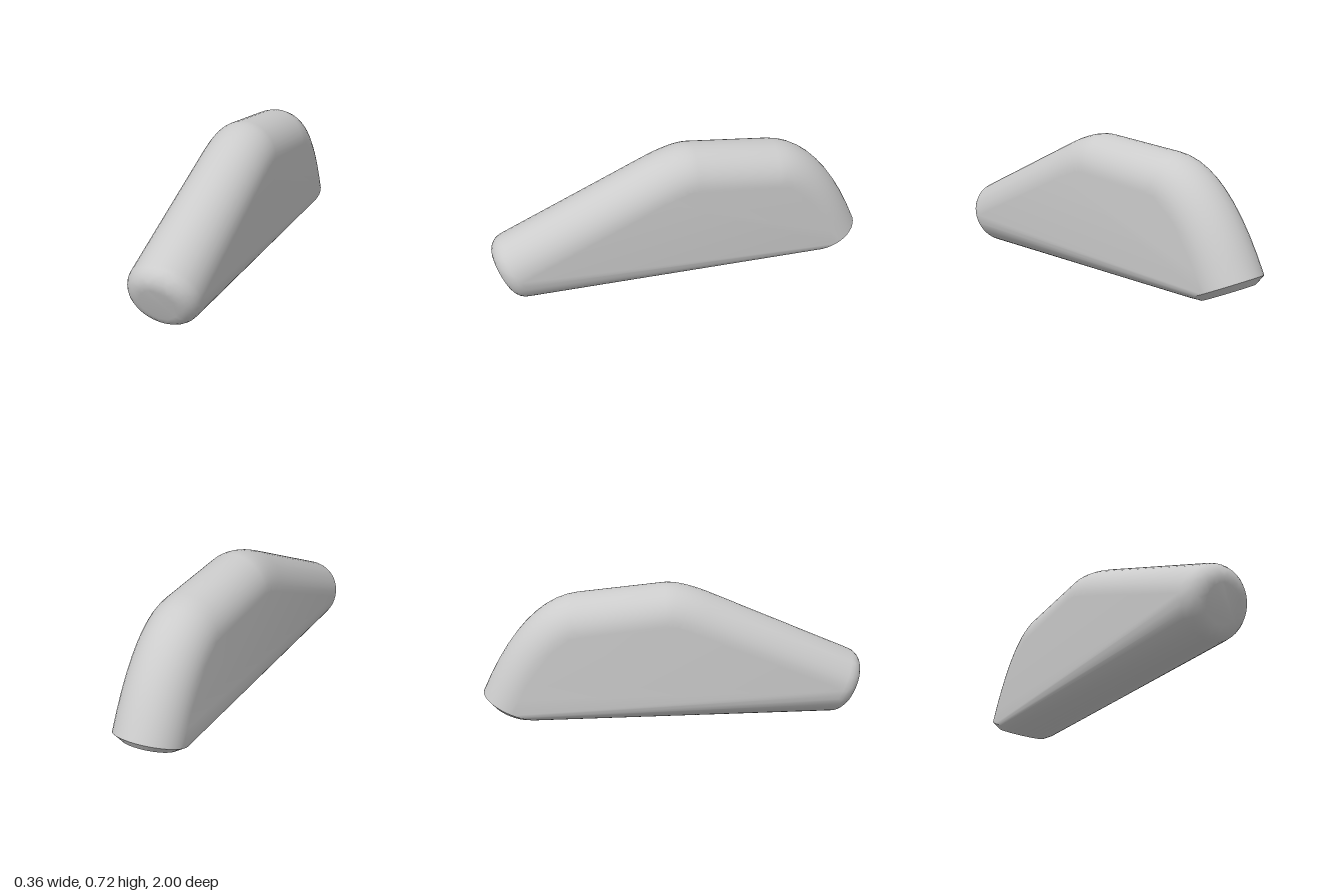
import * as THREE from 'three';
import { ConvexGeometry } from 'three/addons/geometries/ConvexGeometry.js';
import { toCreasedNormals } from 'three/addons/utils/BufferGeometryUtils.js';

const R = 0.179;     // half width of the body
const ROUND = 0.085; // rounding of the front end
const SIDES = 40;
const P = (z, y) => new THREE.Vector3(0, y, z);

export function createModel() {
  const points = [];

  // Adds a circle hanging below the ridge point, square to the ridge direction
  function addRing(ridge, dir, radius = R, shift = 0) {
    const up = P(dir.y, -dir.z);
    const centre = ridge.clone().addScaledVector(up, -R).addScaledVector(dir, shift);
    for (let i = 0; i < SIDES; i++) {
      const a = (i / SIDES) * Math.PI * 2;
      const p = centre.clone().addScaledVector(up, radius * Math.cos(a));
      p.x = radius * Math.sin(a);
      points.push(p);
    }
  }

  // Rounded front end
  const nose = P(1.028, 0.303);
  const noseDir = P(0.2, 0.66).sub(nose).normalize();
  for (let i = 0; i <= 6; i++) {
    const a = (i / 6) * Math.PI / 2;
    addRing(nose, noseDir, R - ROUND * (1 - Math.sin(a)), ROUND * (1 - Math.cos(a)));
  }

  // Two bends along the ridge; the straight runs join them
  const bends = [
    new THREE.QuadraticBezierCurve3(P(0.2, 0.66), P(0.04, 0.729), P(-0.05, 0.72)),
    new THREE.QuadraticBezierCurve3(P(-0.49, 0.676), P(-0.77, 0.648), P(-0.998, 0.155)),
  ];
  for (const bend of bends) {
    for (let i = 0; i <= 10; i++) addRing(bend.getPoint(i / 10), bend.getTangent(i / 10));
  }

  // Chamfered flat disc at the back
  addRing(bends[1].getPoint(1), bends[1].getTangent(1), 0.13, 0.03);

  const body = new THREE.Mesh(
    toCreasedNormals(new ConvexGeometry(points), 0.45),
    new THREE.MeshStandardMaterial({ color: 0xcccccc })
  );
  body.name = 'body';

  const group = new THREE.Group();
  group.name = 'roundedWedge';
  group.add(body);
  return group;
}
